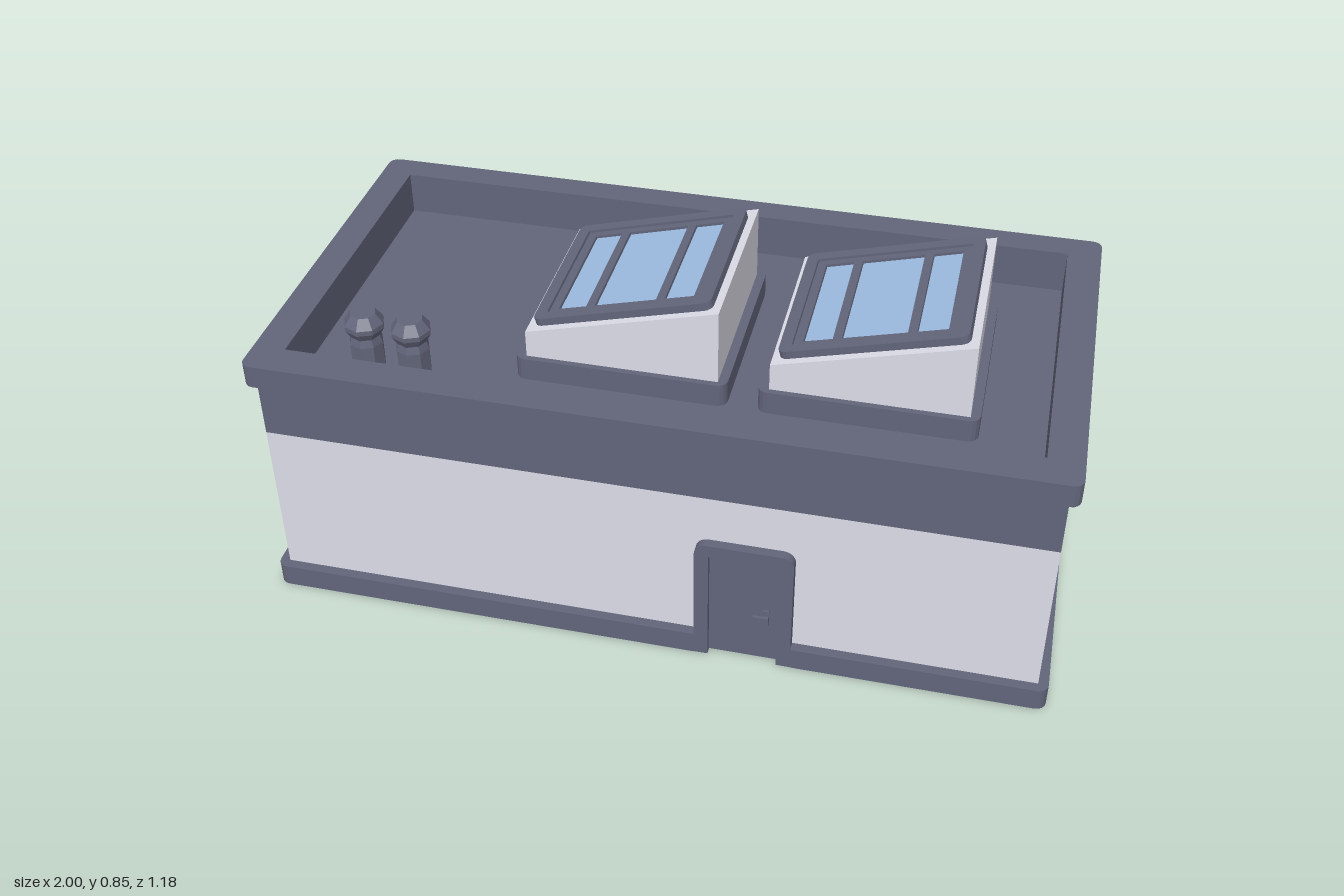
import * as THREE from 'three';

const mat = (name, color) => {
  const m = new THREE.MeshStandardMaterial({ color });
  m.name = name;
  return m;
};

export function createModel() {
  const dark = mat('slate trim', 0x62657a);
  const light = mat('pale wall', 0xdddde8);
  const blue = mat('glass', 0x9cbae0);
  const yellow = mat('ochre door', 0xd4a246);
  const green = mat('foliage', 0x42a87a);
  const clay = mat('soil', 0xc87850);
  const model = new THREE.Group();

  const add = (name, geo, m, parent = model) => {
    const mesh = new THREE.Mesh(geo, m);
    mesh.name = name;
    parent.add(mesh);
    return mesh;
  };
  const group = (name, parent = model) => {
    const g = new THREE.Group();
    g.name = name;
    parent.add(g);
    return g;
  };
  // box given by its limits
  const box = (name, x0, x1, y0, y1, z0, z1, m, parent) => {
    const mesh = add(name, new THREE.BoxGeometry(x1 - x0, y1 - y0, z1 - z0), m, parent);
    mesh.position.set((x0 + x1) / 2, (y0 + y1) / 2, (z0 + z1) / 2);
    return mesh;
  };
  // plan outline [x, z] extruded upwards from y0 to y1; outlines run clockwise, holes are reversed
  const toV = (pts) => pts.map(([x, z]) => new THREE.Vector2(x, -z));
  const slabGeo = (pts, y0, y1, hole) => {
    const s = new THREE.Shape(toV(pts));
    if (hole) s.holes.push(new THREE.Path(toV(hole).reverse()));
    const g = new THREE.ExtrudeGeometry(s, { depth: y1 - y0, bevelEnabled: false });
    return g.rotateX(-Math.PI / 2).translate(0, y0, 0);
  };
  // quarter-round corner: quadrant 0 front right, 1 front left, 2 back left, 3 back right
  const corner = (x, z, r, quadrant) => {
    if (!r) return [[x, z]];
    const cx = x + (quadrant === 0 || quadrant === 3 ? -r : r);
    const cz = z + (quadrant < 2 ? -r : r);
    return [0, 1, 2, 3, 4].map((i) => {
      const a = (quadrant + i / 4) * Math.PI / 2;
      return [cx + r * Math.cos(a), cz + r * Math.sin(a)];
    });
  };
  // rectangle with back corner radius rb and front corner radius rf
  const rect = (x0, x1, z0, z1, rb = 0, rf = rb) => [
    ...corner(x0, z0, rb, 2), ...corner(x1, z0, rb, 3), ...corner(x1, z1, rf, 0), ...corner(x0, z1, rf, 1),
  ];

  // base plinth, notched at each doorway
  add('basePlinth', slabGeo([
    ...corner(-0.95, -0.41, 0.025, 2), [-0.885, -0.41], [-0.885, -0.385], [-0.515, -0.385], [-0.515, -0.41],
    [-0.405, -0.41], [-0.405, -0.385], [-0.375, -0.385], [-0.375, -0.265], [-0.055, -0.265], [-0.055, -0.385],
    [-0.025, -0.385], [-0.025, -0.41], [0.63, -0.41], [0.63, -0.385], [0.87, -0.385], [0.87, -0.41],
    ...corner(1, -0.41, 0.025, 3), ...corner(1, 0.59, 0.025, 0),
    [0.383, 0.59], [0.383, 0.565], [0.143, 0.565], [0.143, 0.59], ...corner(-0.95, 0.59, 0.025, 1),
  ], 0, 0.06), dark);

  // walls, with a recess behind the raised door
  add('lowerWalls', slabGeo([
    [-0.925, -0.385], [-0.375, -0.385], [-0.375, -0.265], [-0.055, -0.265], [-0.055, -0.385],
    [0.975, -0.385], [0.975, 0.565], [-0.925, 0.565],
  ], 0.06, 0.34), light);
  const wallPlan = rect(-0.925, 0.975, -0.385, 0.565);
  add('upperWalls', slabGeo(wallPlan, 0.34, 0.48), light);
  const recess = group('garageRecess');
  box('recessBack', -0.375, -0.055, 0, 0.34, -0.275, -0.265, dark, recess);
  box('recessSide', -0.375, -0.37, 0, 0.34, -0.385, -0.27, dark, recess);
  box('recessSide', -0.06, -0.055, 0, 0.34, -0.385, -0.27, dark, recess);
  box('recessCeiling', -0.375, -0.055, 0.335, 0.34, -0.385, -0.27, dark, recess);

  // sunken roof and parapet
  const well = rect(-0.87, 0.915, -0.335, 0.505);
  add('roofBand', slabGeo(wallPlan, 0.48, 0.58), dark);
  add('parapet', slabGeo(wallPlan, 0.58, 0.635, well), dark);
  add('parapetCap', slabGeo(rect(-0.95, 1, -0.41, 0.59, 0.025), 0.635, 0.694, well), dark);

  // sloped skylights
  for (const dx of [0, 0.595]) {
    const sky = group('skylight');
    sky.position.x = dx;
    add('skylightCurb', slabGeo(rect(-0.357, 0.165, -0.17, 0.345, 0.025), 0.58, 0.64), dark, sky);
    const side = new THREE.Shape([[-0.33, 0.62], [0.142, 0.62], [0.142, 0.835], [-0.33, 0.71]].map((p) => new THREE.Vector2(...p)));
    add('skylightBox', new THREE.ExtrudeGeometry(side, { depth: 0.475, bevelEnabled: false }).translate(0, 0, -0.145), light, sky);
    const top = group('skylightWindow', sky);
    top.position.set(-0.095, 0.772, 0.0925);
    top.rotation.z = Math.atan(0.266);
    const inner = rect(-0.195, 0.195, -0.187, 0.187);
    add('outerFrame', slabGeo(rect(-0.225, 0.225, -0.217, 0.217, 0.02), 0, 0.02, inner), dark, top);
    add('innerFrame', slabGeo(inner, 0, 0.013, rect(-0.172, 0.172, -0.168, 0.168)), dark, top);
    box('glass', -0.18, 0.18, 0, 0.006, -0.175, 0.175, blue, top);
    for (const x of [-0.09, 0.088]) box('glazingBar', x - 0.011, x + 0.011, 0, 0.013, -0.168, 0.168, dark, top);
  }

  // roof vents
  const ventProfile = [[0.042, 0.58], [0.042, 0.655], [0.037, 0.675], [0.05, 0.697], [0.05, 0.71], [0.032, 0.736], [0, 0.736]];
  for (const x of [-0.722, -0.603]) {
    const g = new THREE.LatheGeometry(ventProfile.map((p) => new THREE.Vector2(...p)), 8).toNonIndexed();
    g.computeVertexNormals();
    add('roofVent', g, dark).position.set(x, 0, 0.373);
  }

  // doorway surround; built facing +z, origin at ground centre on the wall face
  const doorway = (name, x, w, front) => {
    const g = group(name);
    g.position.set(x, 0, front ? 0.565 : -0.385);
    g.rotation.y = front ? 0 : Math.PI;
    const o = w / 2 + 0.035, i = w / 2, h = 0.355, r = 0.03;
    const s = new THREE.Shape([[-o, 0], [-i, 0], [-i, 0.32], [i, 0.32], [i, 0], [o, 0]].map((p) => new THREE.Vector2(...p)));
    s.absarc(o - r, h - r, r, 0, Math.PI / 2);
    s.absarc(r - o, h - r, r, Math.PI / 2, Math.PI);
    add('doorFrame', new THREE.ExtrudeGeometry(s, { depth: 0.026, bevelEnabled: false, curveSegments: 4 }).translate(0, 0, -0.002), dark, g);
    return g;
  };
  const handle = (x, y, parent) => {
    box('handlePlate', x - 0.008, x + 0.008, y - 0.025, y + 0.025, 0.01, 0.015, dark, parent);
    box('handleLever', x - 0.03, x + 0.008, y - 0.002, y + 0.01, 0.018, 0.025, dark, parent);
    box('handleStem', x - 0.004, x + 0.006, y, y + 0.008, 0.014, 0.02, dark, parent);
  };

  const frontDoor = doorway('frontDoor', 0.263, 0.17, true);
  box('doorPanel', -0.085, 0.085, 0.005, 0.32, 0, 0.01, dark, frontDoor);
  handle(0.055, 0.14, frontDoor);

  const porchDoor = doorway('porchDoor', 0.75, 0.17, false);
  box('doorPanel', -0.085, 0.085, 0.005, 0.32, 0, 0.01, dark, porchDoor);
  for (const [y0, y1] of [[0.05, 0.155], [0.175, 0.29]]) box('doorGlass', -0.055, 0.05, y0, y1, 0.008, 0.013, blue, porchDoor);
  handle(0.066, 0.16, porchDoor);

  // garage doors, one closed and one raised and tilted
  const pull = (y, z, parent) => {
    const m = add('pullHandle', new THREE.CapsuleGeometry(0.009, 0.03, 3, 8), dark, parent);
    m.rotation.z = Math.PI / 2;
    m.position.set(0, y, z);
  };
  const closed = doorway('closedGarage', -0.7, 0.3, false);
  box('garageDoor', -0.15, 0.15, 0.005, 0.32, 0, 0.012, yellow, closed);
  box('windowSurround', -0.115, 0.115, 0.222, 0.282, 0.01, 0.016, yellow, closed);
  box('doorWindow', -0.105, 0.105, 0.232, 0.272, 0.012, 0.018, blue, closed);
  pull(0.055, 0.012, closed);
  const open = doorway('openGarage', -0.215, 0.31, false);
  const leaf = group('raisedLeaf', open);
  leaf.position.set(0, 0.325, -0.032);
  leaf.rotation.x = -0.34;
  box('garageDoor', -0.153, 0.153, -0.215, 0, -0.006, 0.006, yellow, leaf);
  pull(-0.175, 0.006, leaf);

  // porch canopy sloping away from the wall, on two posts
  const canopy = slabGeo(rect(0.49, 0.973, -0.562, -0.38, 0.025, 0), 0, 0.033);
  const p = canopy.attributes.position;
  for (let i = 0; i < p.count; i++) p.setY(i, p.getY(i) + 0.444 + (p.getZ(i) + 0.385) * 0.28);
  canopy.computeVertexNormals();
  add('porchCanopy', canopy, dark);
  for (const x of [0.57, 0.935]) box('porchPost', x - 0.0175, x + 0.0175, 0.005, 0.43, -0.505, -0.47, dark);

  // planter with two bushes
  add('planterWall', slabGeo(rect(0.03, 0.495, -0.588, -0.4, 0.06, 0), 0.005, 0.06, rect(0.05, 0.475, -0.57, -0.405, 0.045, 0)), dark);
  add('planterSoil', slabGeo(rect(0.045, 0.48, -0.575, -0.402, 0.045, 0), 0.02, 0.048), clay);
  add('planterFloor', slabGeo(rect(0.045, 0.48, -0.575, -0.402, 0.045, 0), 0.005, 0.02), dark);
  const bush = (x, r, top) => {
    const h = top - 0.04;
    const pts = [[0, 0], [0.65, 0], [1, 0.38], [0.86, 0.7], [0.5, 0.97], [0, 1]];
    add('bush', new THREE.LatheGeometry(pts.map(([a, b]) => new THREE.Vector2(a * r, 0.04 + b * h)), 6), green).position.set(x, 0, -0.49);
  };
  bush(0.173, 0.092, 0.17);
  bush(0.347, 0.084, 0.213);

  // drainpipe with elbow and collars
  const drain = group('drainpipe');
  const path = new THREE.CurvePath();
  const v = (x, y) => new THREE.Vector3(x, y, -0.325);
  path.add(new THREE.LineCurve3(v(-0.971, 0.06), v(-0.971, 0.548)));
  path.add(new THREE.QuadraticBezierCurve3(v(-0.971, 0.548), v(-0.971, 0.562), v(-0.955, 0.562)));
  path.add(new THREE.LineCurve3(v(-0.955, 0.562), v(-0.91, 0.562)));
  add('pipe', new THREE.TubeGeometry(path, 60, 0.02, 8), dark, drain);
  const end = add('pipeEnd', new THREE.CircleGeometry(0.02, 8), dark, drain);
  end.rotation.x = Math.PI / 2;
  end.position.copy(v(-0.971, 0.06));
  for (const y of [0.15, 0.455]) add('pipeCollar', new THREE.CylinderGeometry(0.029, 0.029, 0.03, 8), dark, drain).position.copy(v(-0.971, y));

  return model;
}
